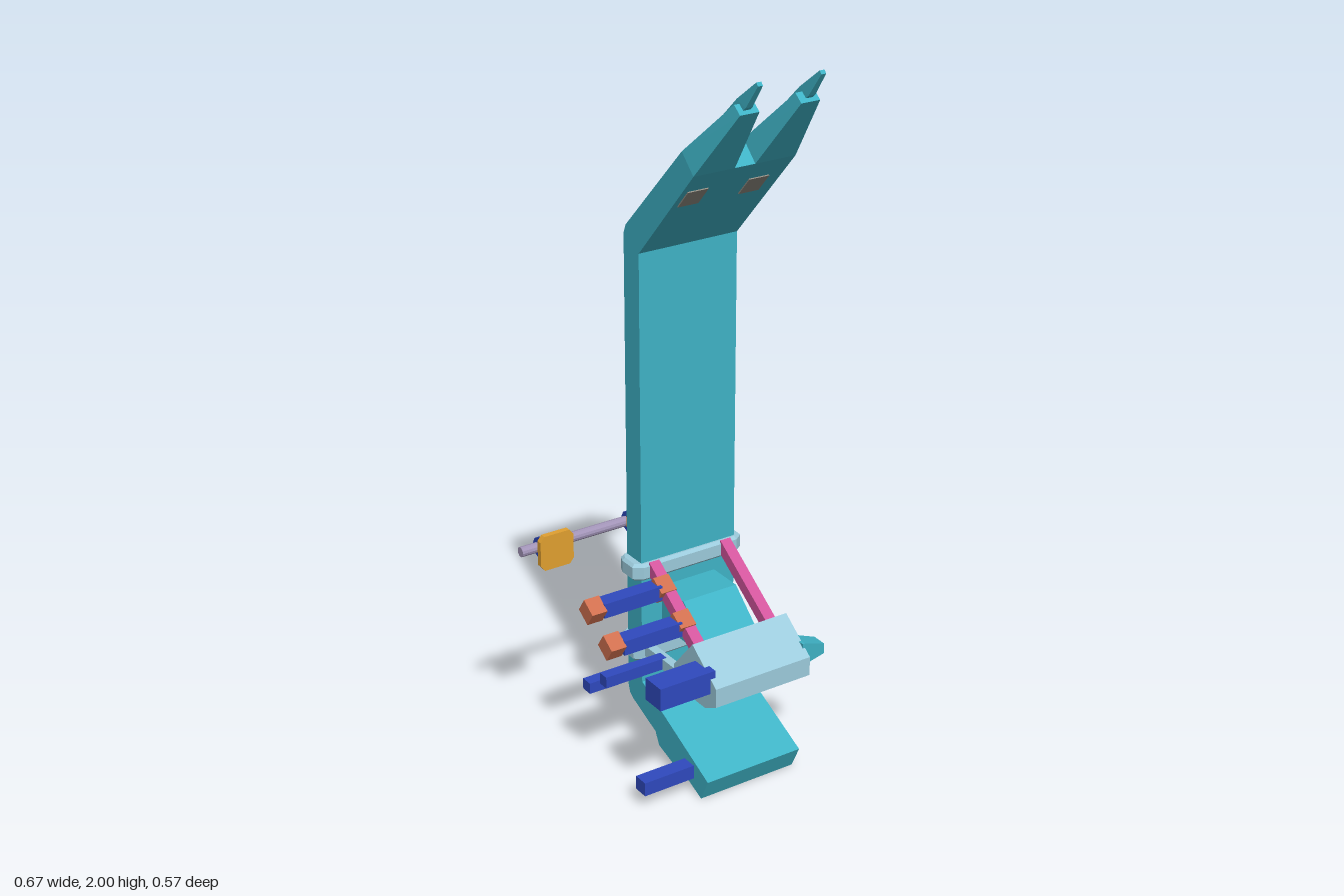
import * as THREE from 'three';
import { ConvexGeometry } from 'three/addons/geometries/ConvexGeometry.js';

const COLORS = {
  teal: 0x3fb3c6, pale: 0x9ccbdc, green: 0x98cc66, pink: 0xd2559c, blue: 0x2f49be,
  orange: 0xd0704f, gold: 0xe0a030, lavender: 0xa294b8, grey: 0x908c82,
};
const MATS = {};
for (const key in COLORS) {
  MATS[key] = new THREE.MeshStandardMaterial({ color: COLORS[key], flatShading: true });
}

export function createModel() {
  const model = new THREE.Group();
  const MID = 0.115; // centre line of the main plank

  const add = (name, geo, color) => {
    const mesh = new THREE.Mesh(geo, MATS[color]);
    mesh.name = name;
    model.add(mesh);
    return mesh;
  };
  // Box given by its limits on each axis
  const box = (name, color, [x0, x1], [y0, y1], [z0, z1]) => {
    const mesh = add(name, new THREE.BoxGeometry(x1 - x0, y1 - y0, z1 - z0), color);
    mesh.position.set((x0 + x1) / 2, (y0 + y1) / 2, (z0 + z1) / 2);
    return mesh;
  };
  const outline = (pts) => new THREE.Shape(pts.map(([a, b]) => new THREE.Vector2(a, b)));
  // Side profile of [z, y] points, extruded across x
  const profile = (name, color, pts, x0, x1) => {
    const geo = new THREE.ExtrudeGeometry(outline(pts), { depth: x1 - x0, bevelEnabled: false });
    geo.rotateY(-Math.PI / 2).translate(x1, 0, 0);
    return add(name, geo, color);
  };
  // Rectangular bar between two [z, y] points
  const bar = (name, color, x0, x1, [za, ya], [zb, yb], thick) => {
    const mesh = add(name, new THREE.BoxGeometry(x1 - x0, thick, Math.hypot(zb - za, yb - ya)), color);
    mesh.position.set((x0 + x1) / 2, (ya + yb) / 2, (za + zb) / 2);
    mesh.rotation.x = -Math.atan2(yb - ya, zb - za);
    return mesh;
  };
  // Solid between cross-sections: [halfWidthLeft, halfWidthRight, z, y] edges
  const hull = (name, color, edges) => {
    const pts = [];
    for (const [x0, x1, z, y] of edges) {
      pts.push(new THREE.Vector3(x0, y, z), new THREE.Vector3(x1, y, z));
    }
    return add(name, new ConvexGeometry(pts), color);
  };

  // Bent plank: foot, upright and leaning top
  profile('plank', 'teal', [
    [0.143, 0.003], [-0.19, 0.145], [-0.207, 0.157], [-0.215, 0.18], [-0.215, 1.5], [-0.205, 1.525],
    [0.05, 1.785], [0.1, 1.735], [-0.145, 1.465], [-0.145, 0.222], [0.175, 0.07],
  ], -0.035, 0.265);

  // Pointed forks, mirrored about the plank's centre line
  for (const s of [-1, 1]) {
    const span = (a, b) => (s < 0 ? [MID - b, MID - a] : [MID + a, MID + b]);
    hull('fork', 'teal', [
      [...span(0.03, 0.15), 0.05, 1.785], [...span(0.03, 0.15), 0.1, 1.735],
      [...span(0.06, 0.115), 0.215, 1.935], [...span(0.06, 0.115), 0.24, 1.915],
    ]);
    hull('forkTip', 'teal', [
      [...span(0.077, 0.101), 0.1, 1.845], [...span(0.077, 0.101), 0.105, 1.815],
      [...span(0.08, 0.1), 0.205, 1.945], [...span(0.08, 0.1), 0.24, 1.93],
      [...span(0.083, 0.097), 0.277, 2.0], [...span(0.083, 0.097), 0.284, 1.992],
    ]);
  }

  // Green strips and grey pads, in pairs on the back and underside
  for (const x of [0.024, 0.205]) {
    bar('topStrip', 'green', x - 0.014, x + 0.014, [-0.05, 1.69], [0.026, 1.768], 0.024);
    profile('backStrip', 'green',
      [[-0.21, 0.775], [-0.228, 0.785], [-0.228, 0.88], [-0.21, 0.89]], x - 0.015, x + 0.015);
  }
  for (const x of [0.012, 0.192]) {
    bar('undersidePad', 'grey', x - 0.03, x + 0.03, [0.005, 1.63], [0.05, 1.68], 0.006);
  }
  for (const x of [0.032, 0.203]) {
    box('backPad', 'pink', [x - 0.034, x + 0.034], [0.28, 0.4], [-0.24, -0.212]);
  }

  // Clamps wrapped around the upright
  const clampShape = outline([
    [-0.035, 0.132], [-0.06, 0.15], [-0.06, 0.2], [-0.052, 0.22], [-0.035, 0.229],
    [0.265, 0.229], [0.282, 0.22], [0.29, 0.2], [0.29, 0.15], [0.265, 0.132],
  ]);
  for (const [y, h] of [[0.537, 0.05], [0.292, 0.062]]) {
    const geo = new THREE.ExtrudeGeometry(clampShape, {
      depth: h - 0.016, bevelEnabled: true, bevelThickness: 0.008, bevelSize: 0.008,
      bevelOffset: -0.008, bevelSegments: 1,
    });
    geo.rotateX(-Math.PI / 2).translate(0, y + 0.008, 0);
    add('clamp', geo, 'pale');
  }

  // Front housing with its struts, brace and diagonal arms
  profile('frontHousing', 'pale', [
    [0.21, 0.32], [0.16, 0.295], [0.012, 0.295], [0.012, 0.355], [0.1, 0.457], [0.21, 0.375],
  ], -0.035, 0.267);
  for (const x of [-0.02, 0.235]) {
    box('strut', 'pale', [x - 0.013, x + 0.013], [0.308, 0.34], [-0.145, 0.02]);
  }
  profile('brace', 'teal',
    [[-0.15, 0.5], [-0.04, 0.5], [0.06, 0.41], [0.06, 0.38], [-0.15, 0.38]], 0.03, 0.2);
  for (const x of [0.0, 0.23]) {
    bar('diagonalArm', 'pink', x - 0.016, x + 0.016, [-0.145, 0.575], [0.085, 0.417], 0.034);
  }
  hull('sideKnob', 'teal', [
    [0.26, 0.267, 0.13, 0.405], [0.26, 0.267, 0.187, 0.405], [0.26, 0.267, 0.13, 0.34],
    [0.26, 0.267, 0.187, 0.34], [0.3, 0.336, 0.137, 0.38], [0.3, 0.336, 0.18, 0.38],
    [0.3, 0.336, 0.137, 0.35], [0.3, 0.336, 0.18, 0.35],
  ]);

  // Lump under the foot
  profile('footLump', 'teal', [
    [0.04, 0.08], [0.04, 0.038], [0.025, 0.026], [0.0, 0.018], [-0.085, 0.045], [-0.1, 0.075], [-0.1, 0.12],
  ], -0.02, 0.1);

  // Rods on the right side: [outer x, y limits, z limits]
  for (const [x, ys, zs] of [
    [-0.2, [0.508, 0.55], [-0.11, -0.065]],
    [-0.2, [0.443, 0.485], [-0.016, 0.031]],
    [-0.19, [0.35, 0.415], [0.114, 0.185]],
    [-0.21, [0.308, 0.341], [-0.078, -0.047]],
    [-0.19, [0.225, 0.257], [-0.2, -0.165]],
    [-0.19, [0.048, 0.088], [0.064, 0.108]],
  ]) box('sideRod', 'blue', [x, -0.02], ys, zs);

  // Blocks on the diagonal arm and caps at the ends of the two upper rods
  for (const [z, y] of [[-0.087, 0.53], [0.006, 0.468]]) {
    for (const [name, x0, x1] of [['armBlock', -0.03, 0.018], ['rodCap', -0.245, -0.199]]) {
      bar(name, 'orange', x0, x1, [z - 0.021, y + 0.014], [z + 0.021, y - 0.014], 0.048);
    }
  }

  // Rear tube on two chamfered plates, each with a pair of ring brackets
  const tube = add('rearTube', new THREE.CylinderGeometry(0.014, 0.014, 0.446, 12), 'lavender');
  tube.rotation.z = Math.PI / 2;
  tube.position.set(-0.113, 0.658, -0.262);
  const plateShape = outline([
    [-0.05, -0.035], [-0.038, -0.05], [0.038, -0.05], [0.05, -0.035],
    [0.05, 0.035], [0.038, 0.05], [-0.038, 0.05], [-0.05, 0.035],
  ]);
  for (const x of [-0.252, 0.024]) {
    const plate = add('tubePlate',
      new THREE.ExtrudeGeometry(plateShape, { depth: 0.016, bevelEnabled: false }), 'gold');
    plate.position.set(x, 0.66, -0.23);
    for (const dx of [-0.027, 0.027]) {
      profile('ringBracket', 'blue', [
        [-0.225, 0.622], [-0.225, 0.695], [-0.25, 0.692], [-0.275, 0.68],
        [-0.285, 0.66], [-0.275, 0.637], [-0.25, 0.625],
      ], x + dx - 0.006, x + dx + 0.006);
    }
  }
  return model;
}
